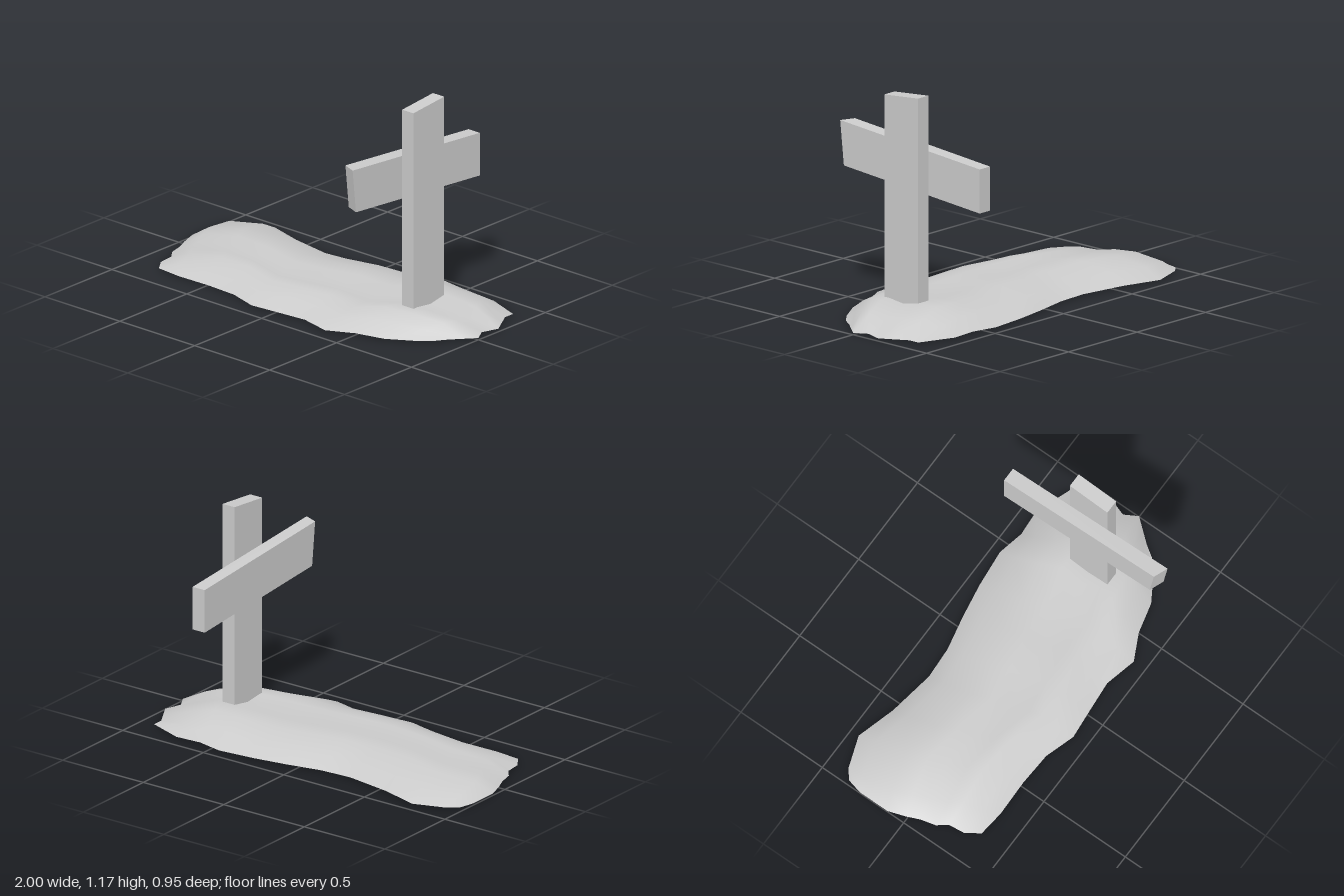
import * as THREE from 'three';

const material = new THREE.MeshStandardMaterial({ color: 0xcccccc });
const moundMaterial = new THREE.MeshStandardMaterial({ color: 0xcccccc, side: THREE.DoubleSide });

// Ragged rim of the mound as four edges, [x, z]
const back = [[-.98, -.35], [-.93, -.39], [-.76, -.45], [-.55, -.39], [-.30, -.35], [-.13, -.36],
  [.06, -.40], [.24, -.43], [.44, -.45], [.58, -.42], [.72, -.43], [.91, -.36]];
const front = [[-.82, .35], [-.68, .365], [-.48, .36], [-.30, .37], [-.14, .42], [.02, .405],
  [.19, .39], [.36, .43], [.50, .36], [.66, .32], [.79, .24], [.86, .18]];
const left = [[-.98, -.35], [-1, -.27], [-1, -.10], [-.97, -.01], [-.94, .06], [-.92, .14],
  [-.88, .19], [-.87, .28], [-.82, .35]];
const right = [[.91, -.36], [.91, -.30], [.95, -.23], [.99, -.16], [.96, -.07], [1, 0],
  [.95, .06], [.90, .12], [.86, .18]];

// Height along the mound, and across it with two soft ridges
const along = [0, .6, .88, 1, .87, .93, .97, .88, 1.12, 1.12, .75, 0];
const across = [0, .055, .09, .095, .078, .088, .085, .05, 0];

// Rim edges blended into a grid of points, then raised
function createMound() {
  const nu = along.length - 1, nv = across.length - 1;
  const positions = [], index = [];
  for (let j = 0; j <= nv; j++) {
    for (let i = 0; i <= nu; i++) {
      const u = i / nu, v = j / nv;
      const [x, z] = [0, 1].map((k) =>
        (1 - v) * back[i][k] + v * front[i][k] + (1 - u) * left[j][k] + u * right[j][k]
        - (1 - u) * ((1 - v) * back[0][k] + v * front[0][k])
        - u * ((1 - v) * back[nu][k] + v * front[nu][k]));
      positions.push(x, .01 + along[i] * across[j], z);
      if (i < nu && j < nv) {
        const a = j * (nu + 1) + i, b = a + nu + 1;
        index.push(a, b, a + 1, b, b + 1, a + 1);
      }
    }
  }
  const geometry = new THREE.BufferGeometry();
  geometry.setAttribute('position', new THREE.Float32BufferAttribute(positions, 3));
  geometry.setIndex(index);
  geometry.computeVertexNormals();
  const mesh = new THREE.Mesh(geometry, moundMaterial);
  mesh.name = 'earthMound';
  return mesh;
}

// Plank cut from a [z, y] outline; skew shortens the front end on the -x face
function createPlank(name, outline, x, skew = 0) {
  const shape = new THREE.Shape(outline.map(([z, y]) => new THREE.Vector2(z, y)));
  const geometry = new THREE.ExtrudeGeometry(shape, { depth: .075, bevelEnabled: false });
  const p = geometry.attributes.position;
  for (let i = 0; i < p.count; i++) {
    if (p.getZ(i) > .05 && p.getX(i) > .4) p.setX(i, p.getX(i) - skew);
  }
  geometry.computeVertexNormals();
  geometry.rotateY(-Math.PI / 2);
  const mesh = new THREE.Mesh(geometry, material);
  mesh.name = name;
  mesh.position.x = x;
  return mesh;
}

export function createModel() {
  const group = new THREE.Group();
  group.name = 'graveMound';
  group.add(
    createMound(),
    createPlank('uprightPost', [[-.125, 0], [.105, 0], [.105, 1.153], [-.125, 1.175]], .66),
    createPlank('crossbeam', [[-.475, .632], [.45, .705], [.475, .935], [-.475, .86]], .585, .03),
  );
  return group;
}
